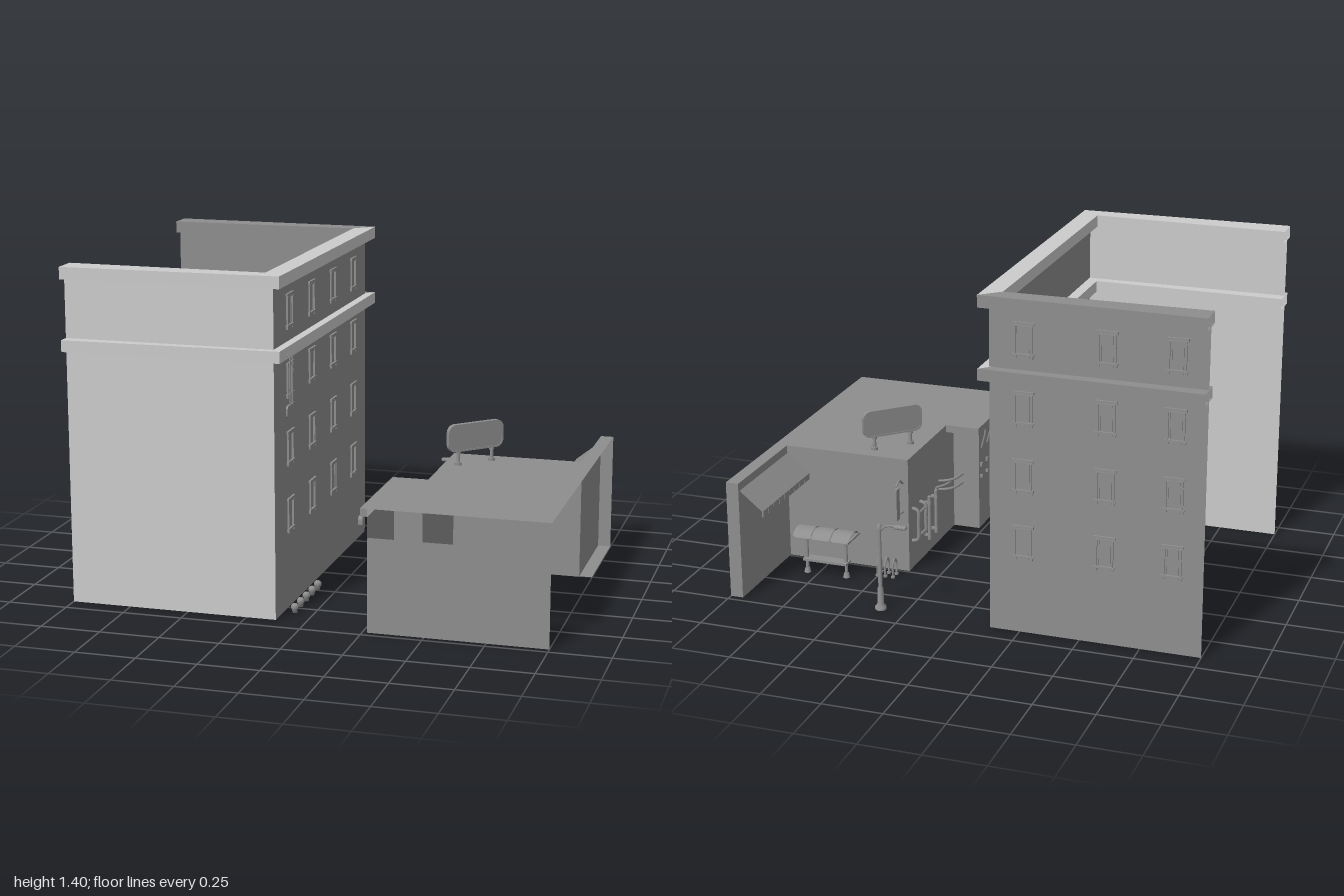
import * as THREE from 'three';
import { RoundedBoxGeometry } from 'three/addons/geometries/RoundedBoxGeometry.js';

const light = new THREE.MeshStandardMaterial({ color: 0xcccccc, side: THREE.DoubleSide });
const dark = new THREE.MeshStandardMaterial({ color: 0x8e8e8e, side: THREE.DoubleSide });

function add(parent, name, geo, x = 0, y = 0, z = 0, material = dark) {
  const m = new THREE.Mesh(geo, material);
  m.name = name;
  m.position.set(x, y, z);
  parent.add(m);
  return m;
}
function group(parent, name) {
  const g = new THREE.Group();
  g.name = name;
  parent.add(g);
  return g;
}
const vec2 = pts => pts.map(a => new THREE.Vector2(...a));
const box = (p, n, w, h, d, x, y, z) => add(p, n, new THREE.BoxGeometry(w, h, d), x, y, z);
const rod = (p, n, r, h, x, y, z, r2 = r) => add(p, n, new THREE.CylinderGeometry(r2, r, h, 10), x, y + h / 2, z);
const tube = (p, n, pts, r) => add(p, n, new THREE.TubeGeometry(
  new THREE.CatmullRomCurve3(pts.map(a => new THREE.Vector3(...a))), 20, r, 6));

// Upright sheet between two plan points
function wall(p, name, x1, z1, x2, z2, y0, y1, material) {
  const g = new THREE.PlaneGeometry(Math.hypot(x2 - x1, z2 - z1), y1 - y0);
  const m = add(p, name, g, (x1 + x2) / 2, (y0 + y1) / 2, (z1 + z2) / 2, material);
  m.rotation.y = -Math.atan2(z2 - z1, x2 - x1);
}
// Level sheet from a plan outline [x, z]; down turns its face to the ground
function sheet(p, name, pts, y, material, down) {
  const g = new THREE.ShapeGeometry(new THREE.Shape(vec2(pts.map(([x, z]) => [x, down ? z : -z]))));
  g.rotateX(down ? Math.PI / 2 : -Math.PI / 2);
  add(p, name, g, 0, y, 0, material);
}
// Hollow cornice run: outer and inner plan lines, open at its ends
function cornice(p, name, outer, inner, y0, y1, material) {
  const c = group(p, name);
  const outline = [...outer, ...[...inner].reverse()];
  sheet(c, 'corniceTop', outline, y1, material);
  sheet(c, 'corniceUnderside', outline, y0, material, true);
  // outer faces turn away from the building, inner faces toward it
  for (const line of [outer, [...inner].reverse()])
    for (let i = 1; i < line.length; i++) wall(c, 'corniceFace', ...line[i - 1], ...line[i], y0, y1, material);
}
// Rounded panel outline
function panel(w, h, r) {
  const p = new THREE.Shape(), x = w / 2 - r, y = h / 2 - r;
  p.absarc(x, y, r, 0, Math.PI / 2);
  p.absarc(-x, y, r, Math.PI / 2, Math.PI);
  p.absarc(-x, -y, r, Math.PI, Math.PI * 1.5);
  p.absarc(x, -y, r, Math.PI * 1.5, Math.PI * 2);
  return p;
}
const plate = (shape, depth) => new THREE.ExtrudeGeometry(shape, { depth, bevelEnabled: false }).translate(0, 0, -depth / 2);

// Window trim, facing +x from its own origin
function windowTrim(parent, x, y, z, turn) {
  const w = group(parent, 'window');
  w.position.set(x, y, z);
  w.rotation.y = turn;
  box(w, 'lintel', 0.009, 0.01, 0.088, 0.0045, 0.066, 0);
  box(w, 'lowerLintel', 0.006, 0.005, 0.074, 0.003, 0.056, 0);
  box(w, 'sill', 0.009, 0.008, 0.088, 0.0045, -0.06, 0);
  box(w, 'apron', 0.006, 0.008, 0.05, 0.003, -0.068, 0);
  for (const s of [-1, 1]) {
    box(w, 'jamb', 0.007, 0.11, 0.007, 0.0035, 0, s * 0.033);
    box(w, 'innerJamb', 0.004, 0.105, 0.003, 0.002, 0, s * 0.023);
    box(w, 'sillBracket', 0.008, 0.01, 0.012, 0.004, -0.069, s * 0.034);
  }
}

function tallBuilding(root) {
  const b = group(root, 'tallBuilding'), X = -0.125;
  wall(b, 'frontWall', -1, 0.668, X, 0.668, 0, 1.38, light);
  wall(b, 'streetWall', X, 0.668, X, -0.66, 0, 1.38);
  wall(b, 'backWall', X, -0.66, -1, -0.66, 0, 1.38);
  for (const [name, y0, y1] of [['roofCornice', 1.353, 1.403], ['lowerCornice', 1.059, 1.107]]) {
    cornice(b, name, [[-1, 0.718], [-0.09, 0.7], [-0.09, -0.7]], [[-1, 0.61], [-0.17, 0.625], [-0.17, -0.625]], y0, y1, light);
    cornice(b, name + 'Back', [[-0.09, -0.7], [-1, -0.715]], [[-0.17, -0.625], [-1, -0.61]], y0, y1, dark);
  }
  for (const y of [1.23, 0.95, 0.67, 0.39]) {
    for (const z of [0.466, 0.166, -0.145, -0.457]) windowTrim(b, X, y, z, 0);
    for (const x of [-0.265, -0.6, -0.875]) windowTrim(b, x, y, -0.66, Math.PI / 2);
  }
  // Hanging sign on two rods
  const s = group(b, 'hangingSign');
  for (const z of [0.609, 0.578])
    tube(s, 'signRod', [[X, 1.076, z], [-0.085, 1.075, z], [-0.077, 1.065, z], [-0.077, 1.04, z], [-0.077, 0.87, z]], 0.0035);
  add(s, 'signPlate', plate(panel(0.105, 0.05, 0.016), 0.008), -0.08, 0.853, 0.593).rotation.y = Math.PI / 2;
  // Small vent low on the wall
  add(b, 'wallVent', plate(panel(0.046, 0.052, 0.018), 0.022), -0.116, 0.075, -0.57).rotation.y = Math.PI / 2;
  // Row of pots
  const pot = new THREE.LatheGeometry(vec2([[0.001, 0], [0.01, 0], [0.012, 0.015], [0.016, 0.018], [0.016, 0.03],
    [0.01, 0.037], [0.001, 0.038]]), 12);
  for (let i = 0; i < 5; i++) add(b, 'pot', pot, -0.08, 0, 0.235 + i * 0.08);
}

function lowBuilding(root) {
  const b = group(root, 'lowBuilding'), H = 0.507;
  sheet(b, 'roof', [[0.24, 0.72], [1, 0.72], [1, -0.24], [0.39, -0.24], [0.39, 0.22], [0.24, 0.22]], H);
  wall(b, 'frontWall', 0.27, 0.719, 1, 0.719, 0, 0.39);
  wall(b, 'shopWall', 0.27, 0.72, 0.27, 0.31, 0, 0.475);
  wall(b, 'stepWall', 0.27, 0.31, 0.39, 0.31, 0, H);
  wall(b, 'streetWall', 0.39, 0.31, 0.39, -0.24, 0, H);
  wall(b, 'backWall', 0.39, -0.24, 0.945, -0.24, 0, H);
  // Overhang of the roof
  wall(b, 'fascia', 0.24, 0.22, 0.24, 0.72, 0.475, H);
  wall(b, 'fasciaBack', 0.24, 0.22, 0.39, 0.22, 0.475, H);
  wall(b, 'fasciaFront', 0.24, 0.72, 0.27, 0.72, 0.475, H);
  sheet(b, 'soffit', [[0.24, 0.72], [0.27, 0.72], [0.27, 0.31], [0.39, 0.31], [0.39, 0.22], [0.24, 0.22]], 0.475, dark, true);
  for (let i = 0; i < 5; i++) {
    const z = 0.33 + i * 0.073;
    tube(b, 'overhangBracket', [[0.245, 0.472, z], [0.25, 0.435, z], [0.258, 0.405, z], [0.264, 0.38, z]], 0.005);
    box(b, 'wallStud', 0.01, 0.018, 0.012, 0.265, 0.3, z);
    box(b, 'wallStud', 0.01, 0.012, 0.012, 0.265, 0.245, z);
  }
  // Wing wall, open on its outer side
  wall(b, 'wingWall', 0.945, -0.24, 0.945, -0.72, 0, H);
  wall(b, 'wingEnd', 0.945, -0.72, 1, -0.72, 0, H);
  const strip = [[0.945, -0.24], [1, -0.24], [1, -0.72], [0.945, -0.72]];
  sheet(b, 'wingTop', strip, H);
  sheet(b, 'wingFloor', strip, 0.002);

  // Slatted awning
  const a = group(b, 'awning');
  for (let i = 0; i < 9; i++) {
    const z = -0.275 - i * 0.0515;
    box(a, 'awningSlat', 0.128, 0.007, 0.048, 0.891, 0.435, z).rotation.z = 0.68;
    box(a, 'valance', 0.006, 0.028, 0.048, 0.843, 0.383, z);
  }

  // Rounded roof sign, turned to the corner
  const s = group(b, 'roofSign');
  s.position.set(0.512, 0, -0.106);
  s.rotation.y = Math.PI / 4;
  const rim = panel(0.27, 0.118, 0.034);
  rim.holes.push(panel(0.256, 0.104, 0.028));
  add(s, 'signFrame', plate(rim, 0.02), 0, 0.624, 0);
  add(s, 'signPanel', plate(panel(0.258, 0.106, 0.029), 0.014), 0, 0.624, 0);
  for (const x of [-0.083, 0.083]) {
    rod(s, 'signLeg', 0.009, 0.065, x, 0.505, 0, 0.006);
    rod(s, 'signFoot', 0.015, 0.012, x, H, 0);
    rod(s, 'signCollar', 0.011, 0.01, x, 0.555, 0);
  }

  // Blade sign near the corner
  const c = group(b, 'bladeSign');
  tube(c, 'bladeArm', [[0.415, 0.4, -0.24], [0.415, 0.425, -0.28], [0.412, 0.41, -0.325]], 0.005);
  box(c, 'bladePlate', 0.01, 0.14, 0.035, 0.413, 0.33, -0.31);
  tube(c, 'bladeStay', [[0.415, 0.27, -0.24], [0.413, 0.28, -0.3]], 0.004);

  // Pipes and fittings along the street wall
  const p = group(b, 'wallPipes');
  for (const z of [-0.21, -0.125])
    tube(p, 'pipeBend', [[0.385, 0.28, z], [0.36, 0.27, z], [0.357, 0.2, z], [0.36, 0.14, z], [0.385, 0.13, z]], 0.008);
  for (const y of [0.15, 0.255]) tube(p, 'pipeLink', [[0.36, y, -0.21], [0.36, y, -0.125]], 0.006);
  for (const z of [-0.06, 0.02]) {
    rod(p, 'standPipe', 0.008, 0.2, 0.365, 0.08, z);
    for (const y of [0.1, 0.25]) box(p, 'pipeClip', 0.03, 0.01, 0.014, 0.373, y, z);
  }
  for (const y of [0.25, 0.29])
    tube(p, 'curvedPipe', [[0.315, y, 0.215], [0.325, y, 0.15], [0.35, y, 0.115], [0.384, y, 0.1]], 0.007);
  tube(p, 'curvedPipe', [[0.345, 0.27, 0.2], [0.355, 0.27, 0.12], [0.384, 0.27, 0.065]], 0.006);
}

function streetFurniture(root) {
  // Shelter with a curved roof in three panels
  const s = group(root, 'shelter');
  const arc = new THREE.CylinderGeometry(0.085, 0.085, 0.08, 10, 1, true, -0.85, 1.7);
  arc.rotateX(-Math.PI / 2).rotateY(Math.PI / 2).center();
  for (let i = 0; i < 3; i++) add(s, 'shelterRoof', arc, 0.624 + i * 0.087, 0.195, -0.385);
  for (const x of [0.585, 0.667, 0.755, 0.835]) box(s, 'roofRib', 0.007, 0.008, 0.13, x, 0.182, -0.385);
  for (const x of [0.62, 0.8]) {
    rod(s, 'shelterPost', 0.007, 0.185, x, 0, -0.385);
    rod(s, 'postFoot', 0.015, 0.02, x, 0, -0.385, 0.01);
  }
  box(s, 'shelterBench', 0.2, 0.01, 0.05, 0.71, 0.065, -0.385);

  // Street lamp
  const l = group(root, 'streetLamp');
  const prof = [[0.024, 0], [0.024, 0.012], [0.014, 0.025], [0.013, 0.09], [0.009, 0.1], [0.007, 0.34],
    [0.012, 0.35], [0.009, 0.37], [0.001, 0.378]];
  add(l, 'lampPost', new THREE.LatheGeometry(vec2(prof), 14), 0.36, 0, -0.637);
  tube(l, 'lampArm', [[0.36, 0.345, -0.637], [0.33, 0.37, -0.637], [0.28, 0.375, -0.637]], 0.005);
  add(l, 'lampHead', new RoundedBoxGeometry(0.055, 0.016, 0.024, 2, 0.007), 0.268, 0.372, -0.637);

  // Bicycle hoops
  for (const x of [0.43, 0.465, 0.5]) {
    const h = group(root, 'bikeHoop');
    tube(h, 'hoop', [[x, 0, -0.33], [x, 0.06, -0.33], [x, 0.08, -0.31], [x, 0.06, -0.29], [x, 0, -0.29]], 0.005);
    for (const z of [-0.33, -0.29]) rod(h, 'hoopFoot', 0.009, 0.008, x, 0, z);
  }
}

export function createModel() {
  const root = new THREE.Group();
  root.name = 'streetCorner';
  tallBuilding(root);
  lowBuilding(root);
  streetFurniture(root);
  return root;
}
